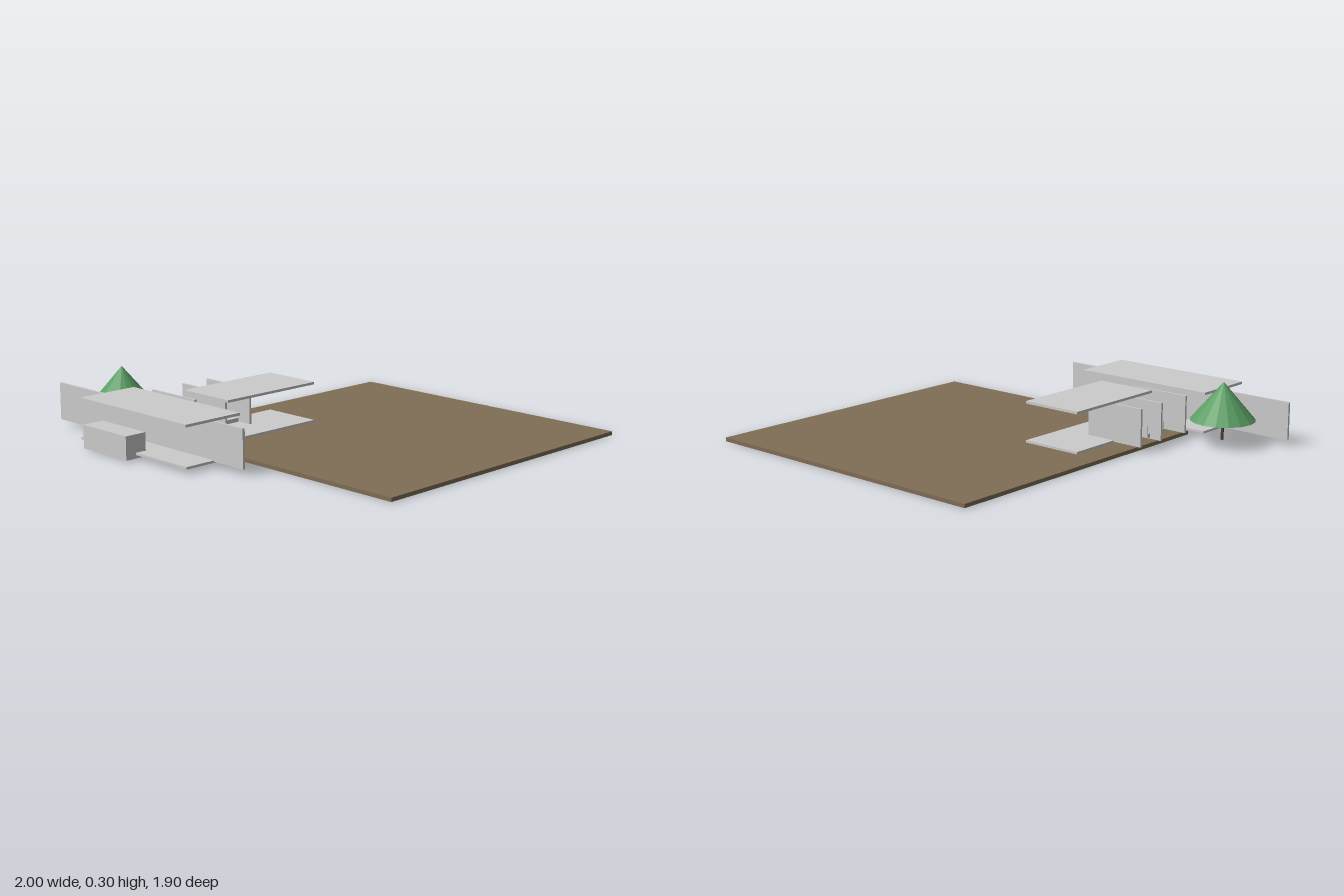
import * as THREE from 'three';

function mat(name, color, flat = false) {
  const m = new THREE.MeshStandardMaterial({ color, flatShading: flat });
  m.name = name;
  return m;
}

export function createModel() {
  const root = new THREE.Group();
  root.name = 'pavilionSite';
  const concrete = mat('pale concrete', 0xcccccc);
  const earth = mat('earth brown', 0x806d56);
  const leaf = mat('leaf green', 0x5a9e63, true);
  const bark = mat('bark brown', 0x5c4033);

  // Box given by its limits on each axis
  function slab(name, material, [x0, x1], [y0, y1], [z0, z1], parent = root) {
    const mesh = new THREE.Mesh(new THREE.BoxGeometry(x1 - x0, y1 - y0, z1 - z0), material);
    mesh.name = name;
    mesh.position.set((x0 + x1) / 2, (y0 + y1) / 2, (z0 + z1) / 2);
    parent.add(mesh);
    return mesh;
  }

  // Ground
  slab('ground', earth, [-0.54, 1], [0, 0.018], [-0.95, 0.585]);

  // Two pavilions, each a floor with a matching roof
  const pavilions = [
    ['front', [-0.63, 0.105], [0.585, 0.895]],
    ['rear', [-0.415, -0.11], [-0.09, 0.46]],
  ];
  for (const [name, xs, zs] of pavilions) {
    slab(name + 'Floor', concrete, xs, [0.02, 0.031], zs);
    slab(name + 'Roof', concrete, xs, [0.205, 0.217], zs);
  }

  // Long front wall and three short cross walls
  slab('longWall', concrete, [-1, 0.29], [0.025, 0.205], [0.726, 0.738]);
  for (const z of [0.18, 0.333, 0.52]) {
    slab('crossWall', concrete, [-0.57, -0.265], [0.025, 0.205], [z - 0.005, z + 0.006]);
  }

  // Entrance block and low screen behind it
  slab('entranceBlock', concrete, [-0.54, -0.235], [0.005, 0.115], [0.84, 0.95]);
  slab('lowScreen', concrete, [-0.63, -0.325], [0.03, 0.08], [0.837, 0.842]);

  // Low bench with upright ends, and a second one under the roof
  slab('bench', concrete, [-0.508, -0.447], [0.031, 0.05], [0.31, 0.432]);
  for (const z of [0.31, 0.432]) {
    slab('benchEnd', concrete, [-0.508, -0.447], [0.031, 0.09], [z - 0.002, z + 0.002]);
  }
  slab('innerBench', concrete, [-0.4, -0.34], [0.031, 0.05], [0.19, 0.31]);

  // Tree
  const tree = new THREE.Group();
  tree.name = 'tree';
  tree.position.set(-0.755, 0, 0.555);
  const crown = new THREE.Mesh(new THREE.ConeGeometry(0.153, 0.18, 16), leaf);
  crown.name = 'crown';
  crown.position.y = 0.205;
  const trunk = new THREE.Mesh(new THREE.CylinderGeometry(0.007, 0.007, 0.1, 8), bark);
  trunk.name = 'trunk';
  trunk.position.y = 0.07;
  tree.add(crown, trunk);
  root.add(tree);

  return root;
}
